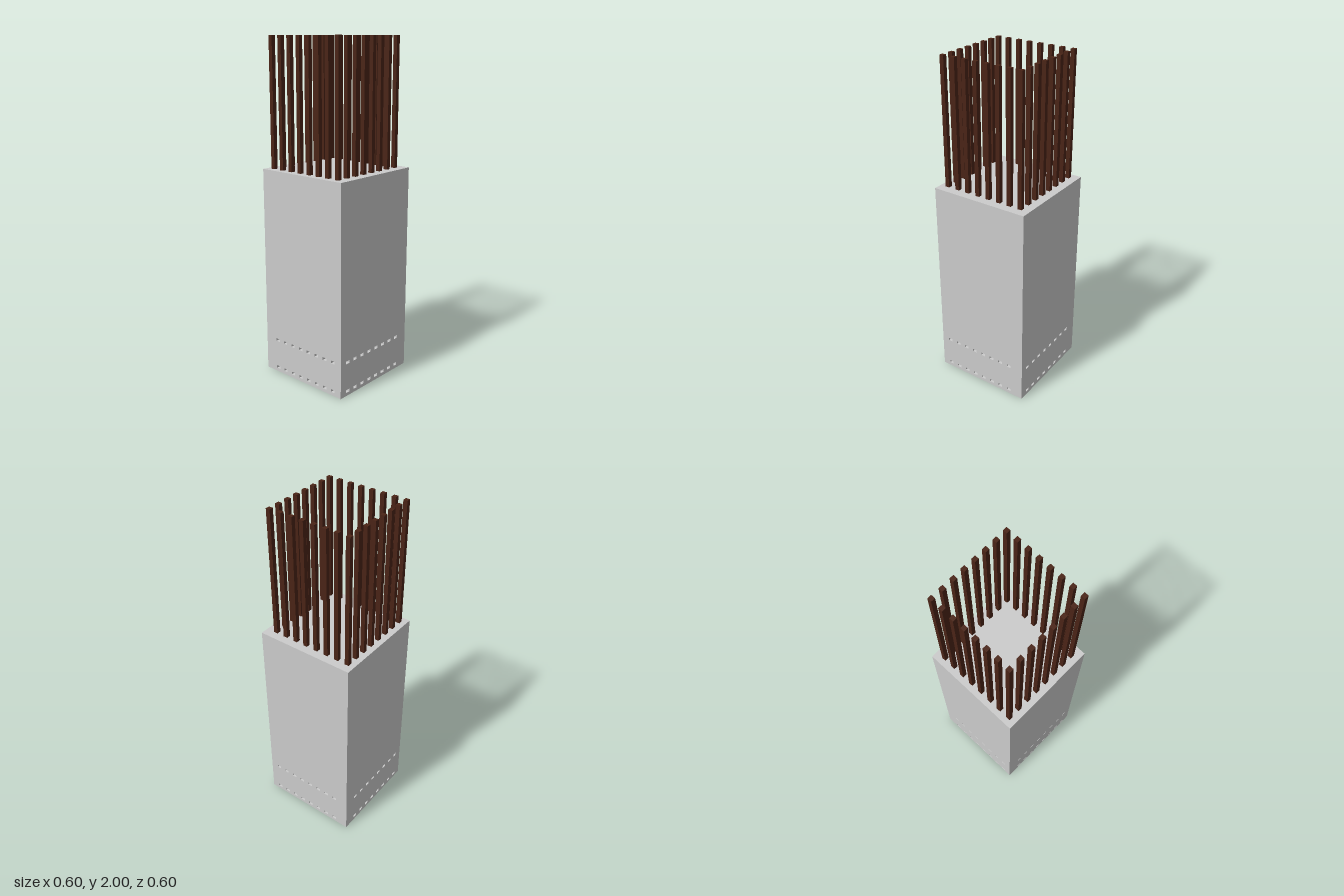
import * as THREE from 'three';

const W = 0.6, H = 1.25;                    // concrete block
const HOLE_W = 0.028, HOLE_H = 0.017, HOLE_D = 0.03;
const HOLE_ROWS = [0.028, 0.207];
const COUNT = 8;

const grey = new THREE.MeshStandardMaterial({ color: 0xcccccc, flatShading: true, side: THREE.DoubleSide });
const rust = new THREE.MeshStandardMaterial({ color: 0x4a2416, flatShading: true });

function add(parent, name, geometry, material, x, y, z) {
  const mesh = new THREE.Mesh(geometry, material);
  mesh.name = name;
  mesh.position.set(x, y, z);
  parent.add(mesh);
  return mesh;
}

// One side of the block, facing +z, with two rows of shallow pockets
function makeWall(name, flip) {
  const wall = new THREE.Group();
  wall.name = name;
  const face = new THREE.Shape([
    new THREE.Vector2(-W / 2, 0), new THREE.Vector2(W / 2, 0),
    new THREE.Vector2(W / 2, H), new THREE.Vector2(-W / 2, H),
  ]);
  // open square sleeve lining each pocket
  const sleeve = new THREE.CylinderGeometry(Math.SQRT1_2, Math.SQRT1_2, 1, 4, 1, true, Math.PI / 4);
  sleeve.rotateX(Math.PI / 2).scale(HOLE_W, HOLE_H, HOLE_D);
  const floor = new THREE.PlaneGeometry(HOLE_W, HOLE_H);

  for (const y of HOLE_ROWS) {
    for (let i = 0; i < COUNT; i++) {
      const x = flip * (-0.24 + i * 0.0637);
      const a = HOLE_W / 2, b = HOLE_H / 2;
      face.holes.push(new THREE.Path([
        new THREE.Vector2(x - a, y - b), new THREE.Vector2(x - a, y + b),
        new THREE.Vector2(x + a, y + b), new THREE.Vector2(x + a, y - b),
      ]));
      add(wall, 'pocketSides', sleeve, grey, x, y, W / 2 - HOLE_D / 2);
      add(wall, 'pocketFloor', floor, grey, x, y, W / 2 - HOLE_D);
    }
  }
  add(wall, 'wallFace', new THREE.ShapeGeometry(face), grey, 0, 0, W / 2);
  return wall;
}

export function createModel() {
  const model = new THREE.Group();
  model.name = 'columnWithBars';

  // Block: four walls, top and bottom
  const block = new THREE.Group();
  block.name = 'block';
  ['frontWall', 'leftWall', 'backWall', 'rightWall'].forEach((name, k) => {
    const wall = makeWall(name, k < 2 ? 1 : -1);
    wall.rotation.y = k * Math.PI / 2;
    block.add(wall);
  });
  const cap = new THREE.PlaneGeometry(W, W);
  add(block, 'blockTop', cap, grey, 0, H, 0).rotation.x = -Math.PI / 2;
  add(block, 'blockBottom', cap, grey, 0, 0, 0).rotation.x = Math.PI / 2;
  model.add(block);

  // Square bars standing around the edge of the top
  const bars = new THREE.Group();
  bars.name = 'bars';
  const bar = new THREE.BoxGeometry(0.025, 2 - H, 0.025);
  for (let i = 0; i < COUNT; i++) {
    for (let j = 0; j < COUNT; j++) {
      const onEdge = i % (COUNT - 1) === 0 || j % (COUNT - 1) === 0;
      if (onEdge) add(bars, 'bar', bar, rust, -0.252 + i * 0.0703, (2 + H) / 2, -0.255 + j * 0.0703);
    }
  }
  model.add(bars);
  return model;
}
